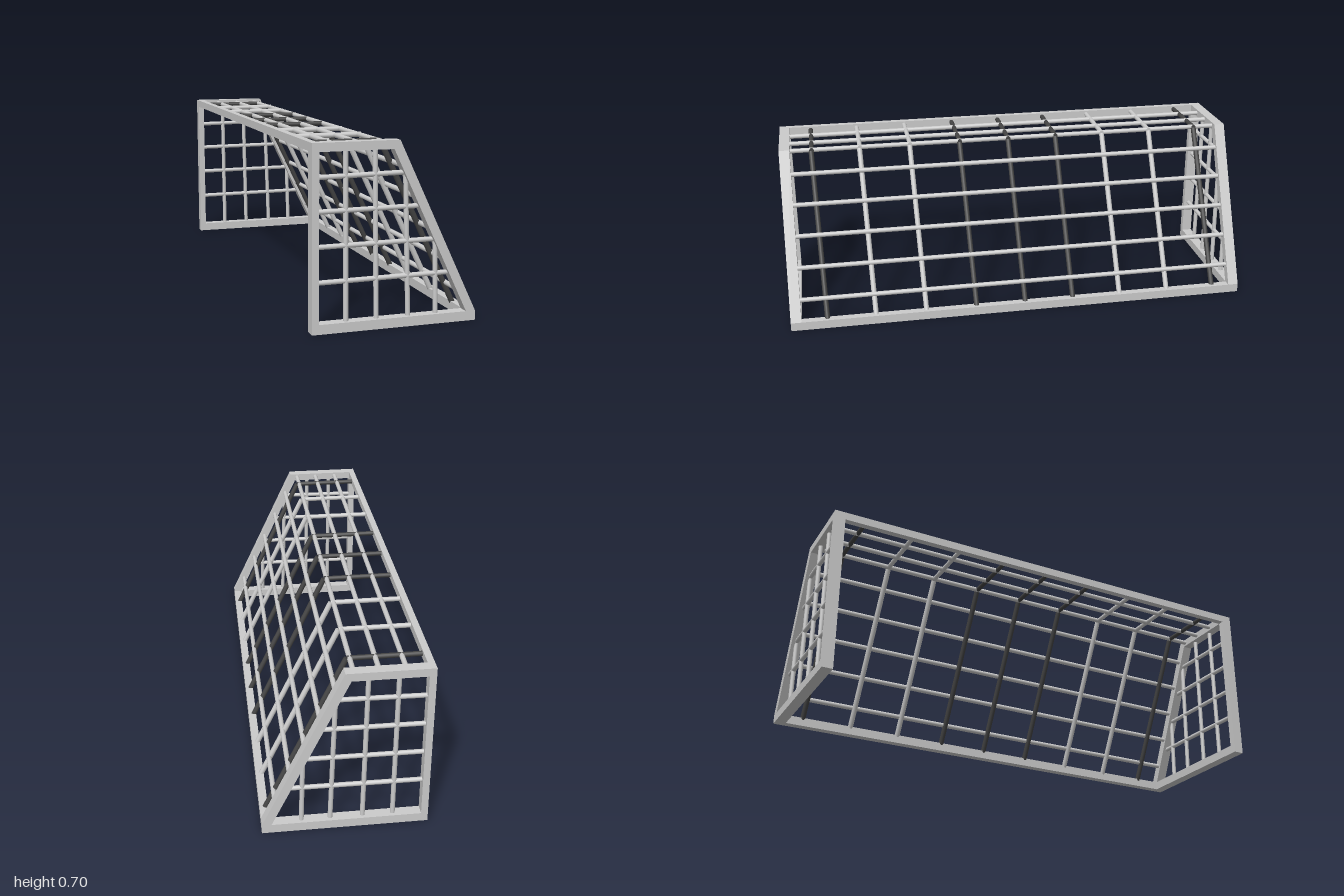
import * as THREE from 'three';

const grey = new THREE.MeshStandardMaterial({ color: 0xcccccc });
const dark = new THREE.MeshStandardMaterial({ color: 0x444444 });
const V = (x, y, z) => new THREE.Vector3(x, y, z);

// Round net bar between two points
function rod(name, a, b, material = grey, radius = 0.01) {
  const dir = b.clone().sub(a);
  const mesh = new THREE.Mesh(new THREE.CylinderGeometry(radius, radius, dir.length(), 14), material);
  mesh.position.copy(a).add(b).multiplyScalar(0.5);
  mesh.quaternion.setFromUnitVectors(V(0, 1, 0), dir.normalize());
  mesh.name = name;
  return mesh;
}

// Square bar running the length of the goal
function longBar(name, w, h, x, y) {
  const mesh = new THREE.Mesh(new THREE.BoxGeometry(w, h, 1.92), grey);
  mesh.position.set(x, y, 0);
  mesh.name = name;
  return mesh;
}

// Closed side frame with a sloping back edge
function sideFrame() {
  const points = (list) => list.map(([x, y]) => new THREE.Vector2(x, y));
  const shape = new THREE.Shape(points([[-0.325, 0], [0.325, 0], [0.325, 0.037], [0.01, 0.7], [-0.325, 0.7]]));
  shape.holes.push(new THREE.Path(points([[-0.298, 0.037], [-0.298, 0.667], [-0.013, 0.667], [0.287, 0.037]])));
  const geo = new THREE.ExtrudeGeometry(shape, { depth: 0.045, bevelEnabled: false });
  geo.translate(0, 0, -0.0225);
  const mesh = new THREE.Mesh(geo, grey);
  mesh.name = 'sideFrame';
  return mesh;
}

// Side frame with its grid of bars
function side(z, name) {
  const group = new THREE.Group();
  group.name = name;
  group.position.z = z;
  group.add(sideFrame());
  // [bottom x, top x, top y]
  for (const [x0, x1, y1] of [[-0.188, -0.192, 0.68], [-0.069, -0.079, 0.68], [0.058, 0.041, 0.58], [0.17, 0.162, 0.34]])
    group.add(rod('sideUpright', V(x0, 0.025, 0), V(x1, y1, 0), grey, 0.0095));
  // [y at the mouth, y at the slope, end x]
  for (const [y0, y1, x1] of [[0.187, 0.191, 0.23], [0.319, 0.322, 0.17], [0.448, 0.451, 0.105], [0.573, 0.578, 0.045]])
    group.add(rod('sideCrossbar', V(-0.31, y0, 0), V(x1, y1, 0), grey, 0.0095));
  return group;
}

export function createModel() {
  const model = new THREE.Group();
  model.name = 'goal';
  model.add(side(0.9775, 'leftSide'), side(-0.9775, 'rightSide'));

  // Crossbar over the mouth and the ground bar at the back
  model.add(longBar('crossbar', 0.027, 0.033, -0.3115, 0.6835));
  model.add(longBar('groundBar', 0.033, 0.037, 0.3085, 0.0185));

  // Lengthwise net bars on the roof
  for (const x of [-0.22, -0.12, -0.025])
    model.add(rod('roofLengthBar', V(x, 0.684, -0.965), V(x, 0.684, 0.965)));

  // Lengthwise net bars on the slope
  for (const y of [0.6, 0.481, 0.36, 0.238, 0.115]) {
    const x = -0.009 + 0.315 * (0.7 - y) / 0.663;
    model.add(rod('slopeLengthBar', V(x, y, -0.965), V(x, y, 0.965)));
  }

  // Net bars across the roof and down the slope, some of them dark
  const cross = [-0.865, -0.65, -0.43, -0.215, 0, 0.217, 0.437, 0.655, 0.862];
  cross.forEach((z, i) => {
    const material = [0, 3, 4, 5, 8].includes(i) ? dark : grey;
    model.add(rod('roofCrossBar', V(-0.305, 0.684, z), V(-0.015, 0.684, z), material));
    model.add(rod('slopeCrossBar', V(-0.014, 0.682, z + 0.002), V(0.303, 0.03, z - 0.017), material, 0.0112));
  });
  return model;
}
